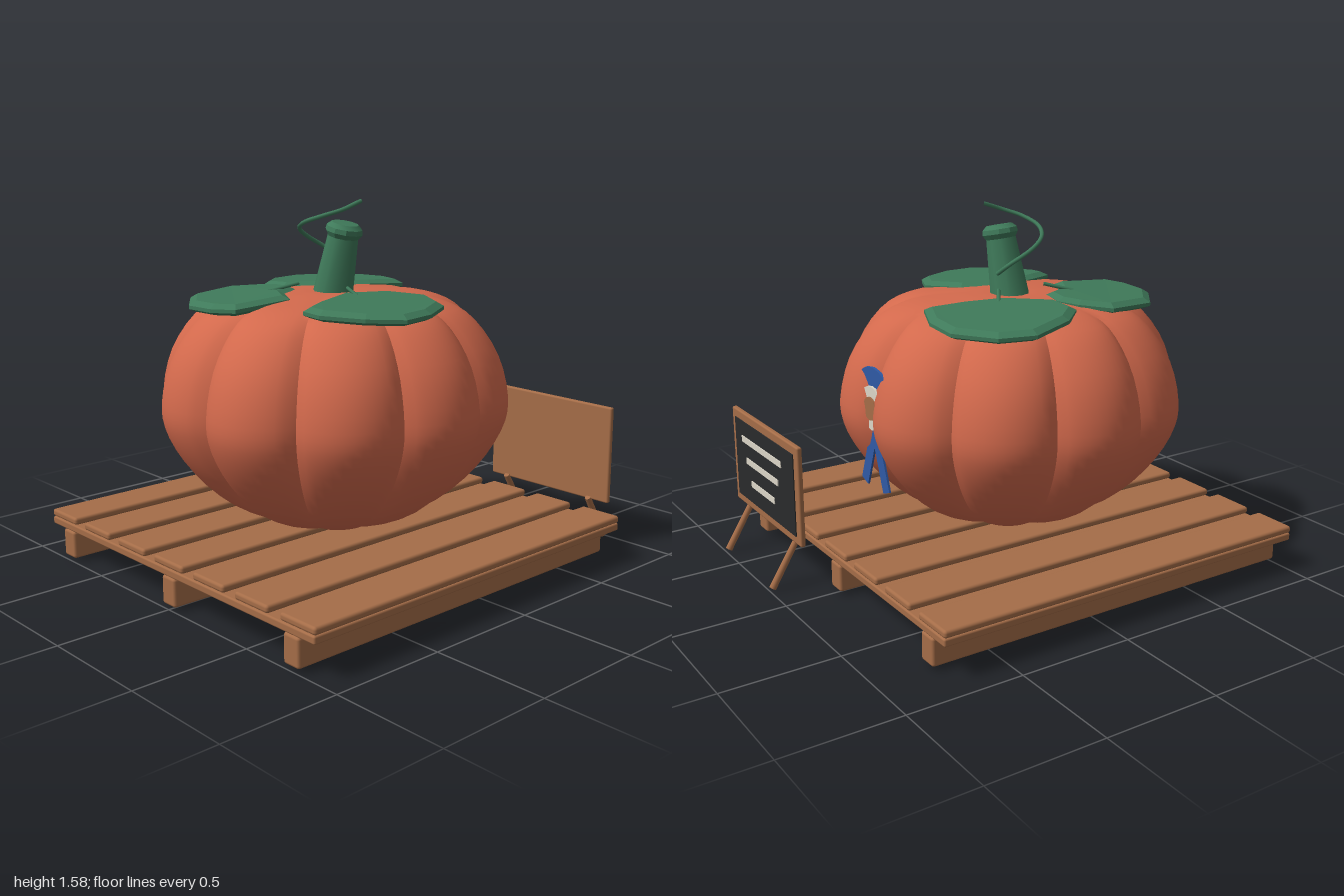
import * as THREE from 'three';
import { mergeVertices, toCreasedNormals } from 'three/addons/utils/BufferGeometryUtils.js';
import { RoundedBoxGeometry } from 'three/addons/geometries/RoundedBoxGeometry.js';

const material = (name, color, extra = {}) => {
  const m = new THREE.MeshStandardMaterial({ color, ...extra });
  m.name = name;
  return m;
};
const V = (x, y, z) => new THREE.Vector3(x, y, z);

export function createModel() {
  const orange = material('pumpkin orange', 0xd2694c);
  const green = material('leaf green', 0x3f7a5a);
  const wood = material('wood brown', 0xa56d48);
  const slate = material('slate black', 0x2a2b2c);
  const white = material('chalk white', 0xdcd6c8);
  const blue = material('ribbon blue', 0x2f5aa6);

  const model = new THREE.Group();
  const cx = -0.115; // centre of the pallet and the pumpkin

  const add = (name, geometry, mat, parent = model) => {
    const mesh = new THREE.Mesh(geometry, mat);
    mesh.name = name;
    parent.add(mesh);
    return mesh;
  };
  const group = (name) => {
    const g = new THREE.Group();
    g.name = name;
    model.add(g);
    return g;
  };
  // Box given by its centre and size, with softened edges when r > 0
  const box = (name, mat, c, s, r, parent) => {
    const g = r ? new RoundedBoxGeometry(...s, 2, r) : new THREE.BoxGeometry(...s);
    const mesh = add(name, g, mat, parent);
    mesh.position.set(...c);
    return mesh;
  };
  // Tapered rod from a to b
  const rod = (name, mat, a, b, ra, rb, sides, parent) => {
    const dir = b.clone().sub(a);
    const mesh = add(name, new THREE.CylinderGeometry(rb, ra, dir.length(), sides), mat, parent);
    mesh.position.copy(a).add(b).multiplyScalar(0.5);
    mesh.quaternion.setFromUnitVectors(V(0, 1, 0), dir.normalize());
    return mesh;
  };

  // Pallet: deck, seven planks, three runners
  const pallet = group('pallet');
  box('deck', wood, [cx, 0.156, 0], [1.77, 0.034, 1.77], 0.008, pallet);
  for (let i = -3; i <= 3; i++) {
    box('plank', wood, [cx, 0.19, i * 0.2635], [1.77, 0.032, 0.195], 0.012, pallet);
  }
  for (const z of [-0.755, 0, 0.755]) {
    box('runner', wood, [cx, 0.077, z], [1.77, 0.122, 0.086], 0.012, pallet);
  }

  // Pumpkin: lathed profile pushed in along ten ribs
  const profile = new THREE.CatmullRomCurve3([
    [0.01, 0.2], [0.14, 0.2], [0.257, 0.213], [0.47, 0.31], [0.645, 0.48], [0.74, 0.65],
    [0.752, 0.76], [0.7, 0.95], [0.58, 1.105], [0.46, 1.162], [0.3, 1.185], [0.12, 1.195], [0.01, 1.19],
  ].map(([r, y]) => V(r, y, 0)));
  let body = new THREE.LatheGeometry(
    profile.getPoints(40).map((p) => new THREE.Vector2(p.x, p.y)), 120);
  const bp = body.attributes.position;
  for (let i = 0; i < bp.count; i++) {
    const x = bp.getX(i), z = bp.getZ(i);
    const rib = Math.pow(Math.abs(Math.sin(5 * Math.atan2(z, x))), 0.7);
    const k = 0.9 + 0.1 * rib;
    bp.setX(i, x * k);
    bp.setZ(i, z * k);
  }
  body.deleteAttribute('uv');
  body.deleteAttribute('normal');
  body = toCreasedNormals(mergeVertices(body, 1e-4), 0.6);
  add('pumpkin', body, orange).position.x = cx;

  // Leaves: bevelled outlines (x, z) that droop away from the stem
  const outlines = [
    [[-0.18, -0.25], [-0.18, -0.39], [-0.065, -0.495], [0.15, -0.58], [0.3, -0.53],
      [0.417, -0.37], [0.41, -0.2], [0.335, -0.03], [0.165, -0.06], [0, -0.105]],
    [[-0.19, -0.25], [-0.235, -0.335], [-0.34, -0.435], [-0.567, -0.4], [-0.69, -0.24],
      [-0.695, -0.09], [-0.65, 0.02], [-0.385, 0.04], [-0.315, -0.08], [-0.21, -0.13]],
    [[-0.18, 0.125], [0.01, 0.2], [0.1, 0.36], [0.03, 0.51], [-0.13, 0.595],
      [-0.28, 0.61], [-0.405, 0.51], [-0.5, 0.35], [-0.5, 0.255], [-0.395, 0.2]],
  ];
  const leaves = group('leaves');
  for (const outline of outlines) {
    const shape = new THREE.Shape(outline.map(([x, z]) => new THREE.Vector2(x, -z)));
    const g = new THREE.ExtrudeGeometry(shape, {
      depth: 0.015, bevelThickness: 0.016, bevelSize: 0.03, bevelOffset: -0.03, bevelSegments: 1,
    });
    g.rotateX(-Math.PI / 2);
    const p = g.attributes.position;
    for (let i = 0; i < p.count; i++) {
      const r2 = (p.getX(i) - cx) ** 2 + p.getZ(i) ** 2;
      p.setY(i, p.getY(i) + 1.18 - 0.08 * r2);
    }
    g.computeVertexNormals();
    add('leaf', g, green, leaves);
  }
  // Leaf stalks
  [
    [V(-0.235, 1.23, -0.08), V(-0.345, 1.2, -0.145)],
    [V(0, 1.23, -0.08), V(0.055, 1.195, -0.165)],
    [V(-0.16, 1.225, 0.14), V(-0.17, 1.195, 0.22)],
  ].forEach(([a, b]) => rod('leafStalk', green, a, b, 0.008, 0.008, 6, leaves));

  // Leaning stem with a thicker cut end
  const base = V(-0.11, 1.16, -0.01), top = V(-0.093, 1.44, 0.045);
  const stem = rod('stem', green, base, top, 0.088, 0.065, 10);
  const cap = add('stemCap', toCreasedNormals(new THREE.LatheGeometry(
    [[0.001, -0.02], [0.064, -0.02], [0.08, 0.005], [0.077, 0.025], [0.058, 0.042], [0.001, 0.044]]
      .map(([r, y]) => new THREE.Vector2(r, y)), 10), 0.5), green);
  cap.position.copy(top);
  cap.quaternion.copy(stem.quaternion);

  // Curling tendril
  const curl = new THREE.CatmullRomCurve3([
    V(0.005, 1.3, -0.08), V(-0.005, 1.35, -0.155), V(-0.1, 1.41, -0.18), V(-0.17, 1.45, -0.15),
    V(-0.21, 1.485, -0.07), V(-0.19, 1.515, 0.02), V(-0.13, 1.54, 0.075), V(-0.035, 1.573, 0.09),
  ]);
  add('tendril', new THREE.TubeGeometry(curl, 40, 0.009, 6), green);

  // Rosette on the pumpkin's left side: stacked discs and two ribbon tails
  const rosette = group('rosette');
  const disc = (name, mat, r, x, t) => {
    const d = add(name, new THREE.CylinderGeometry(r, r, t, 20), mat, rosette);
    d.rotation.z = -Math.PI / 2;
    d.position.set(x, 0.785, 0);
  };
  disc('outerDisc', blue, 0.175, 0.562, 0.012);
  disc('middleDisc', white, 0.095, 0.573, 0.012);
  disc('centreDisc', wood, 0.05, 0.582, 0.01);
  for (const s of [-1, 1]) {
    const tail = box('ribbonTail', blue, [0.563, 0.55, s * 0.052], [0.009, 0.24, 0.056], 0, rosette);
    tail.rotation.x = -s * 0.35;
  }

  // Sign board facing the model's left
  const sign = group('sign');
  box('frame', wood, [0.877, 0.428, 0.411], [0.024, 0.443, 0.682], 0.008, sign);
  box('slatePanel', slate, [0.889, 0.428, 0.411], [0.009, 0.366, 0.606], 0, sign);
  [[0.538, 0.41], [0.444, 0.333], [0.347, 0.243]].forEach(([y, w]) =>
    box('chalkLine', white, [0.904, y, 0.41], [0.004, 0.028, w], 0, sign));
  for (const z of [0.168, 0.65]) {
    rod('signLeg', wood, V(0.858, 0.215, z), V(0.985, 0.008, z), 0.014, 0.016, 8, sign);
  }

  return model;
}
